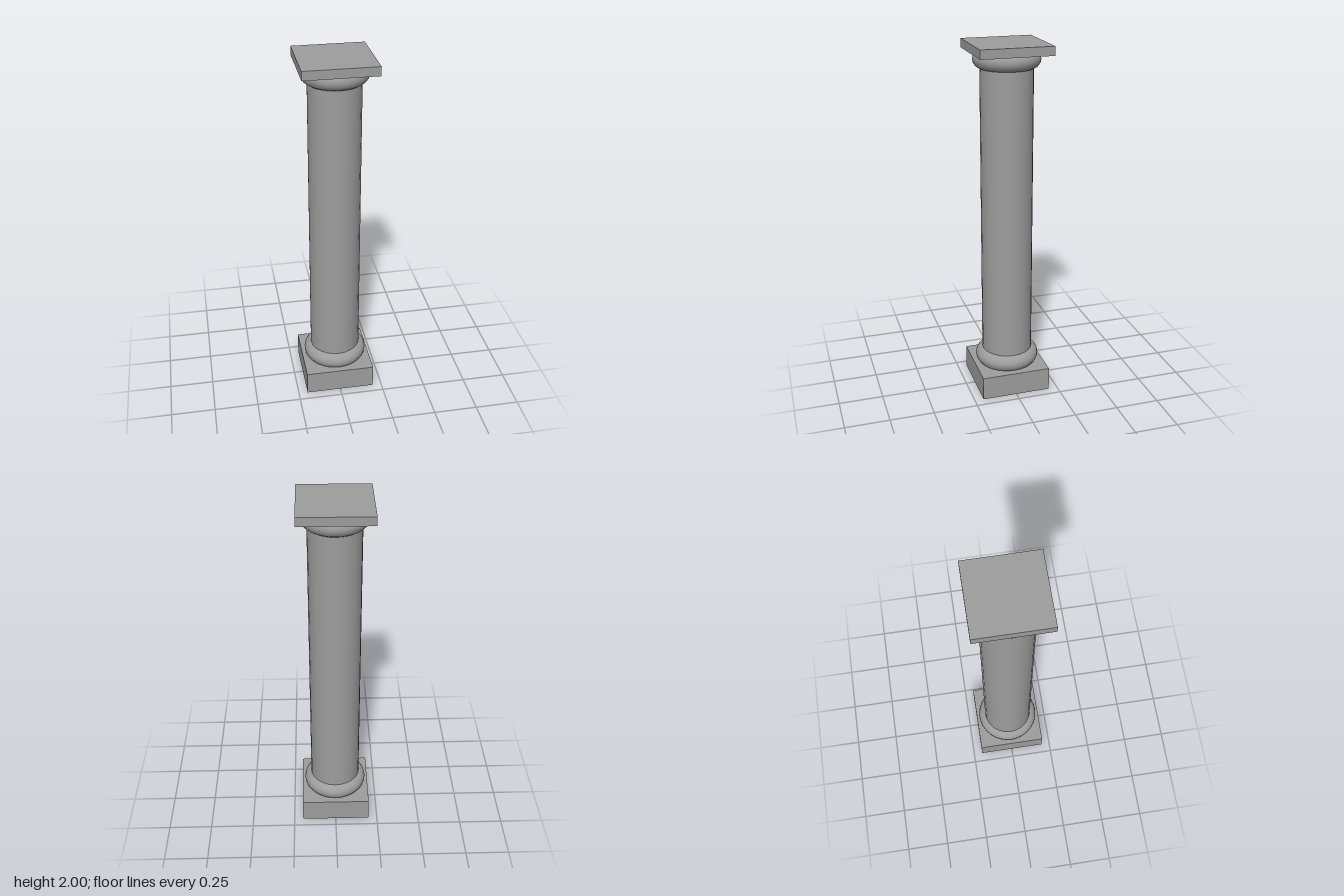
import * as THREE from 'three';

export function createModel() {
  const group = new THREE.Group();
  const material = new THREE.MeshStandardMaterial({ color: 0x9d9d9d });
  const add = (name, geometry, y) => {
    const mesh = new THREE.Mesh(geometry, material);
    mesh.name = name;
    mesh.position.y = y;
    group.add(mesh);
  };
  const slab = (name, bottom, top) =>
    add(name, new THREE.BoxGeometry(0.396, top - bottom, 0.396), (bottom + top) / 2);
  const ring = (name, y) =>
    add(name, new THREE.TorusGeometry(0.131, 0.051, 16, 32).rotateX(Math.PI / 2), y);

  // Square slabs at the foot and the head
  slab('plinth', 0, 0.135);
  slab('abacus', 1.951, 2);

  // Rounded mouldings, slightly sunk into the slabs
  ring('baseMoulding', 0.176);
  ring('capitalMoulding', 1.917);

  // Straight round shaft running between the slabs
  add('shaft', new THREE.CylinderGeometry(0.144, 0.144, 1.816, 24, 1, true), 1.043);

  return group;
}
